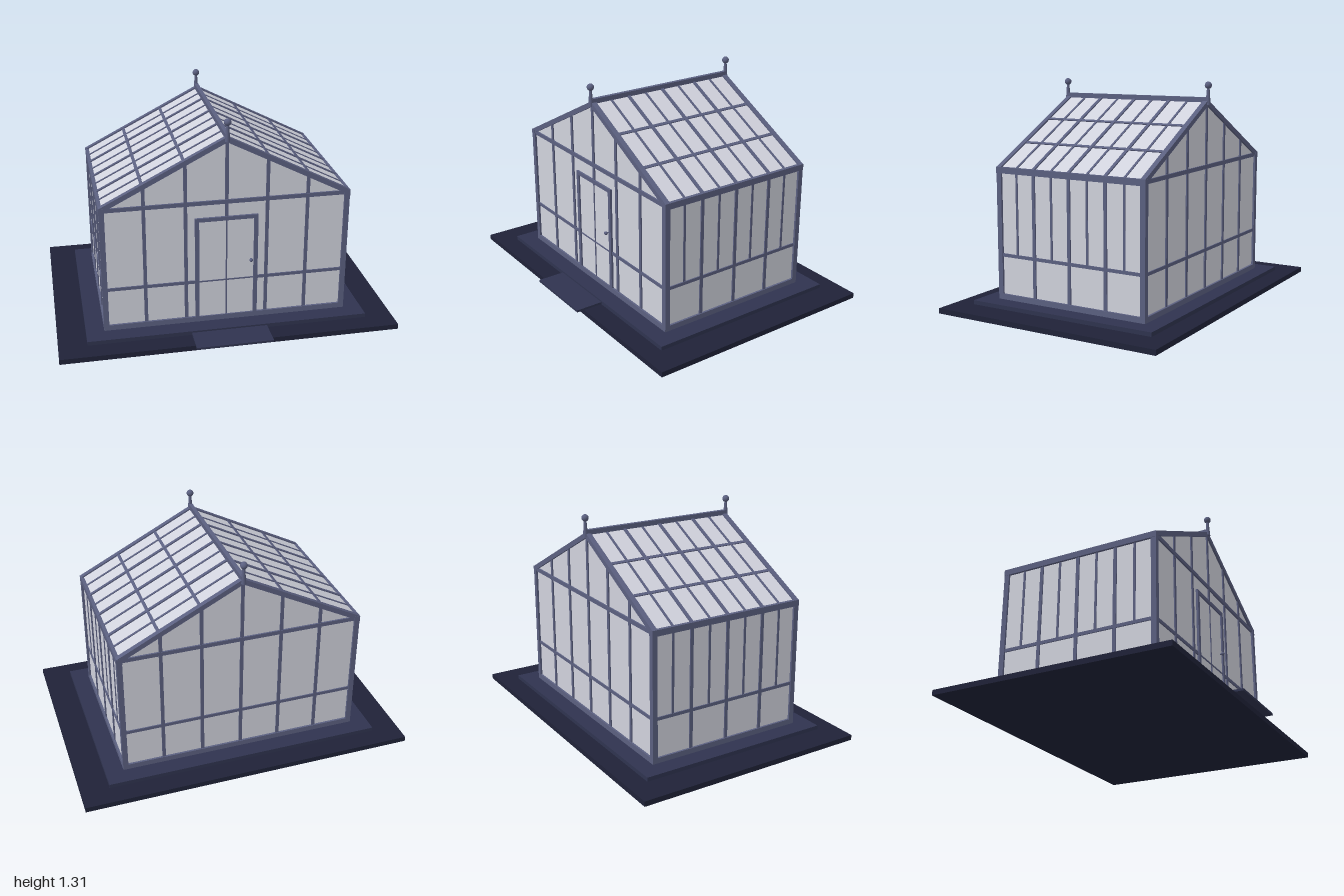
import * as THREE from 'three';

const mat = (color, side = THREE.FrontSide) => new THREE.MeshStandardMaterial({ color, side });

export function createModel() {
  const model = new THREE.Group();
  model.name = 'greenhouse';
  const frame = mat(0x5b6080);
  const dark = mat(0x1f2238);
  const stone = mat(0x2f334f);
  const glass = mat(0xd0d2dc, THREE.DoubleSide);

  const add = (parent, name, geometry, material, x = 0, y = 0, z = 0) => {
    const mesh = new THREE.Mesh(geometry, material);
    mesh.name = name;
    mesh.position.set(x, y, z);
    parent.add(mesh);
    return mesh;
  };
  // Box given by its lower and upper limits on each axis
  const box = (parent, name, [x0, x1], [y0, y1], [z0, z1], material = frame) =>
    add(parent, name, new THREE.BoxGeometry(x1 - x0, y1 - y0, z1 - z0), material,
      (x0 + x1) / 2, (y0 + y1) / 2, (z0 + z1) / 2);
  const around = (c, size) => [c - size / 2, c + size / 2];

  // Ground slab, plinth and door step
  box(model, 'groundSlab', [-1, 1], [0, 0.031], [-0.737, 0.689], dark);
  box(model, 'plinth', [-0.833, 0.833], [0.031, 0.055], [-0.618, 0.571], stone);
  box(model, 'doorStep', [-0.225, 0.225], [0.032, 0.045], [0.56, 0.737], stone);

  const house = new THREE.Group();
  house.name = 'house';
  house.position.z = -0.024;
  model.add(house);

  const X = 0.711, Z = 0.4775;          // wall centre planes
  const T = 0.031;                      // main frame thickness
  const floor = 0.055, eave = 0.815, ridge = 1.194;
  const slope = 0.5155;
  const roofY = x => ridge - slope * Math.abs(x);
  const bays = i => -Z + (i * 2 * Z) / 8;

  // Corner posts
  for (const sx of [-1, 1]) for (const sz of [-1, 1])
    box(house, 'cornerPost', around(sx * X, T), [floor, 0.825], around(sz * Z, T));

  // Long side walls
  for (const s of [-1, 1]) {
    const wall = new THREE.Group();
    wall.name = s > 0 ? 'leftWall' : 'rightWall';
    house.add(wall);
    const x = s * X;
    box(wall, 'bottomRail', around(x, T), [floor, 0.087], [-Z, Z]);
    box(wall, 'middleRail', around(x, 0.02), around(0.318, 0.019), [-Z, Z]);
    box(wall, 'eaveBeam', around(x, 0.034), around(eave, 0.036), [-Z - 0.0165, Z + 0.0165]);
    for (let i = 1; i < 8; i++) {
      const main = i % 2 === 0;
      box(wall, main ? 'mullion' : 'glazingBar', around(x, main ? 0.02 : 0.014),
        [main ? floor : 0.318, eave], around(bays(i), main ? 0.02 : 0.014));
    }
    box(wall, 'sidePane', around(x, 0.006), [0.07, eave], [-Z, Z], glass);
  }

  // Gable walls
  for (const s of [-1, 1]) {
    const gable = new THREE.Group();
    gable.name = s > 0 ? 'frontGable' : 'backGable';
    house.add(gable);
    const z = s * Z;
    box(gable, 'bottomRail', [-X, X], [floor, 0.087], around(z, T));
    box(gable, 'tieBeam', [-X, X], around(0.817, 0.024), around(z, 0.026));
    if (s > 0) for (const sx of [-1, 1])
      box(gable, 'middleRail', around(sx * 0.443, 0.536), around(0.318, 0.019), around(z, 0.02));
    else box(gable, 'middleRail', [-X, X], around(0.318, 0.019), around(z, 0.02));
    for (let i = -2; i <= 2; i++) {
      const x = i * 0.238;
      box(gable, 'mullion', around(x, 0.02), [s > 0 && i === 0 ? 0.71 : floor, roofY(x)], around(z, 0.02));
    }
    const outline = new THREE.Shape([[-X, 0.07], [X, 0.07], [X, roofY(X)], [0, ridge], [-X, roofY(X)]]
      .map(p => new THREE.Vector2(...p)));
    add(gable, 'gablePane', new THREE.ExtrudeGeometry(outline, { depth: 0.006, bevelEnabled: false }),
      glass, 0, 0, z - 0.003);
  }

  // Door with frame, thin bars and knob
  const door = new THREE.Group();
  door.name = 'door';
  house.add(door);
  for (const s of [-1, 1])
    box(door, 'doorJamb', around(s * 0.173, 0.024), [floor, 0.725], around(Z, 0.032));
  box(door, 'doorHead', [-0.185, 0.185], [0.702, 0.725], around(Z, 0.032));
  box(door, 'doorPane', [-0.165, 0.165], [0.08, 0.71], around(Z + 0.004, 0.006), glass);
  box(door, 'doorBar', around(0, 0.008), [0.08, 0.71], around(Z + 0.004, 0.014));
  box(door, 'doorRail', [-0.165, 0.165], around(0.318, 0.008), around(Z + 0.004, 0.014));
  add(door, 'doorKnob', new THREE.SphereGeometry(0.011, 16, 12), frame, 0.144, 0.438, Z + 0.024);
  const stem = add(door, 'knobStem', new THREE.CylinderGeometry(0.004, 0.004, 0.02, 10), frame, 0.144, 0.438, Z + 0.012);
  stem.rotation.x = Math.PI / 2;

  // Roof slopes, built flat and then tilted
  const angle = Math.atan(slope);
  const along = x => x / Math.cos(angle);
  for (const s of [-1, 1]) {
    const roof = new THREE.Group();
    roof.name = s > 0 ? 'leftRoof' : 'rightRoof';
    roof.position.y = ridge;
    roof.rotation.z = -s * angle;
    house.add(roof);
    const run = s > 0 ? [0, along(0.72)] : [-along(0.72), 0];
    for (const sz of [-1, 1])
      box(roof, 'endRafter', run, around(-0.003, 0.029), around(sz * Z, T));
    for (let i = 1; i < 8; i++) {
      const t = i % 2 ? 0.014 : 0.02;
      box(roof, i % 2 ? 'roofBar' : 'rafter', run, around(0, t), around(bays(i), t));
    }
    for (const x of [0.24, 0.478])
      box(roof, 'purlin', around(s * along(x), 0.018), around(0, 0.017), [-Z, Z]);
    box(roof, 'roofPane', run, around(0, 0.006), [-Z, Z], glass);
  }
  box(house, 'ridgeBeam', around(0, 0.024), [1.193, 1.222], [-Z - 0.0165, Z + 0.0165]);

  // Ball finials over both gables
  for (const s of [-1, 1]) {
    const finial = new THREE.Group();
    finial.name = 'finial';
    finial.position.z = s * (Z + 0.014);
    house.add(finial);
    add(finial, 'finialStem', new THREE.CylinderGeometry(0.008, 0.015, 0.095, 16), frame, 0, 1.2275, 0);
    add(finial, 'finialBall', new THREE.SphereGeometry(0.021, 20, 14), frame, 0, 1.292, 0);
  }
  return model;
}
